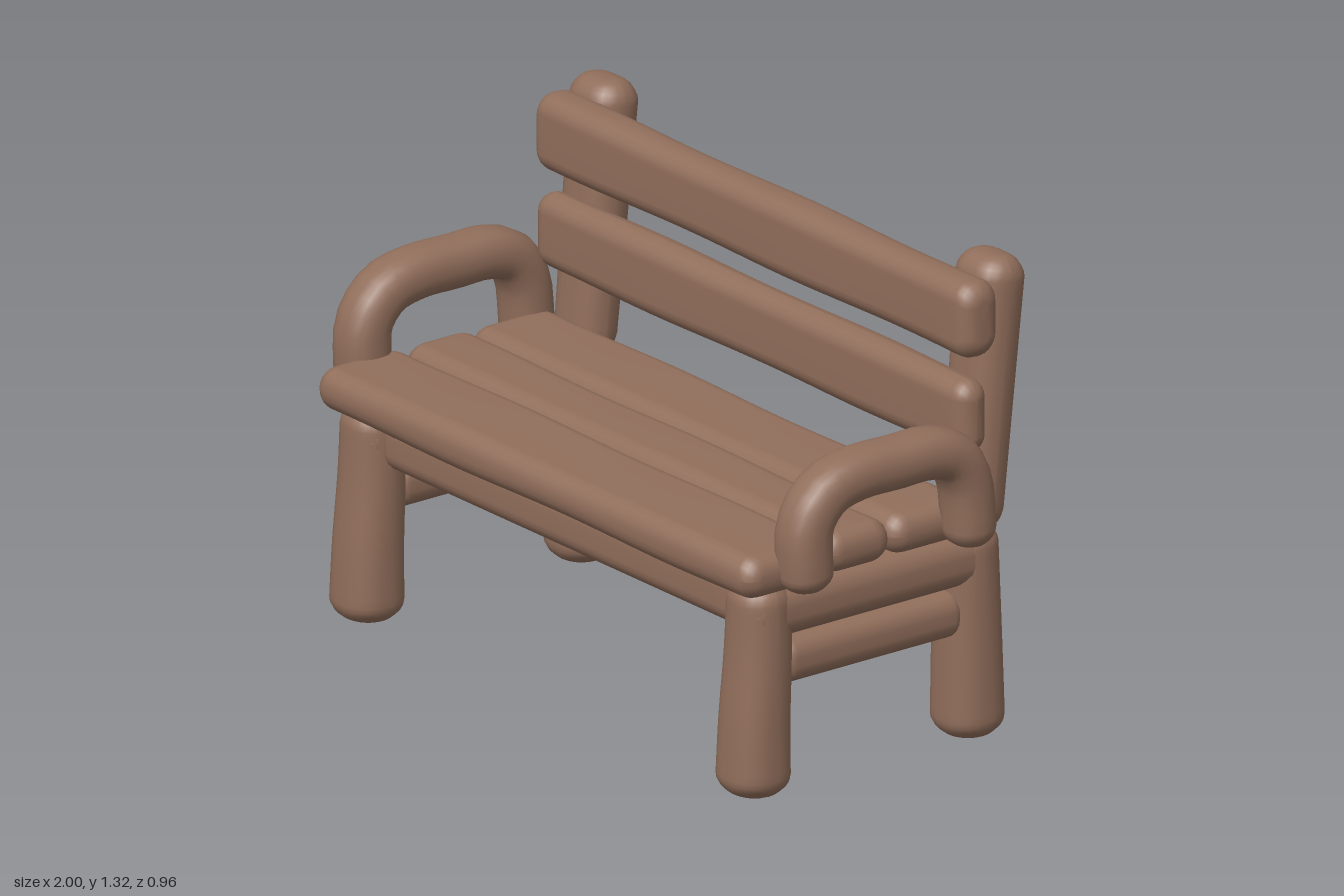
import * as THREE from 'three';

const wood = new THREE.MeshStandardMaterial({ color: 0x916e5b });
wood.name = 'brown wood';

// Rounded timber swept along a path. a = half size along "side", b = half size
// across it (each may be [start, end]), c = corner radius, r = end rounding.
function timber(name, path, side, a, b, c, r, wobble = 0) {
  const [a0, a1] = [a].flat().length > 1 ? a : [a, a];
  const [b0, b1] = [b].flat().length > 1 ? b : [b, b];
  const curve = new THREE.CatmullRomCurve3(path.map(p => new THREE.Vector3(...p)), false, 'centripetal');
  const len = curve.getLength(), steps = 24, endSteps = 6, corner = 5, n = 4 * (corner + 1);
  const S = new THREE.Vector3(...side);

  // Stations are dense at the rounded ends and even in between
  const stations = [0];
  for (let i = 0; i <= endSteps; i++) stations.push(r * (1 - Math.cos(i / endSteps * Math.PI / 2)));
  for (let i = 1; i < steps; i++) stations.push(r + (len - 2 * r) * i / steps);
  for (let i = endSteps; i >= 0; i--) stations.push(len - r * (1 - Math.cos(i / endSteps * Math.PI / 2)));
  stations.push(len);

  const pos = [], index = [];
  stations.forEach((s, i) => {
    const u = Math.min(1, Math.max(0, s / len));
    const p = curve.getPointAt(u), t = curve.getTangentAt(u);
    const O = new THREE.Vector3().crossVectors(t, S).normalize();
    const Q = new THREE.Vector3().crossVectors(O, t).normalize();
    const d = Math.min(s, len - s);
    const inset = d < r ? r - Math.sqrt(Math.max(0, r * r - (r - d) ** 2)) : 0;
    const cap = i === 0 || i === stations.length - 1 ? 0 : 1;
    const w = wobble * Math.sin(s * 7 + path[0][1] * 9 + path[0][2] * 13);
    const A = Math.max(0.002, a0 + (a1 - a0) * u - inset + w) * cap;
    const B = Math.max(0.002, b0 + (b1 - b0) * u - inset + w) * cap;
    const C = Math.min(c, A, B);
    for (let q = 0; q < 4; q++) for (let k = 0; k <= corner; k++) {
      const ang = (q + k / corner) * Math.PI / 2;
      const x = (q === 0 || q === 3 ? 1 : -1) * (A - C) + C * Math.cos(ang);
      const y = (q < 2 ? 1 : -1) * (B - C) + C * Math.sin(ang);
      pos.push(p.x + Q.x * x + O.x * y, p.y + Q.y * x + O.y * y, p.z + Q.z * x + O.z * y);
    }
  });
  for (let i = 0; i < stations.length - 1; i++) for (let j = 0; j < n; j++) {
    const p = i * n + j, q = i * n + (j + 1) % n;
    index.push(p, q, q + n, p, q + n, p + n);
  }
  const geo = new THREE.BufferGeometry();
  geo.setAttribute('position', new THREE.Float32BufferAttribute(pos, 3));
  geo.setIndex(index);
  geo.computeVertexNormals();
  const mesh = new THREE.Mesh(geo, wood);
  mesh.name = name;
  return mesh;
}

export function createModel() {
  const bench = new THREE.Group();
  bench.name = 'bench';
  const X = [1, 0, 0], Y = [0, 1, 0];

  // Boards running the width: name, half length, y range, z range
  const boards = [
    ['frontSeatPlank', 0.915, 0.57, 0.69, 0.195, 0.48],
    ['middleSeatPlank', 0.9, 0.575, 0.69, -0.02, 0.2],
    ['rearSeatPlank', 0.9, 0.575, 0.69, -0.29, -0.015],
    ['lowerBackSlat', 0.905, 0.8, 1.01, -0.34, -0.235],
    ['upperBackSlat', 0.915, 1.07, 1.28, -0.365, -0.24],
  ];
  for (const [name, h, y0, y1, z0, z1] of boards) {
    const y = (y0 + y1) / 2, z = (z0 + z1) / 2;
    bench.add(timber(name, [[-h, y, z], [h, y, z]], Y, (y1 - y0) / 2, (z1 - z0) / 2, 0.052, 0.05, 0.002));
  }

  // Solid frame under the seat
  bench.add(timber('seatFrame', [[-0.75, 0.505, 0.01], [0.75, 0.505, 0.01]], Y, 0.075, 0.38, 0.05, 0.04));

  for (const s of [1, -1]) {
    const sideGroup = new THREE.Group();
    sideGroup.name = s > 0 ? 'leftSide' : 'rightSide';
    const x = s * 0.81;
    sideGroup.add(
      timber('frontLeg', [[x, 0, 0.38], [x, 0.2, 0.375], [x, 0.4, 0.363], [x, 0.59, 0.36]], X, [0.094, 0.085], [0.091, 0.078], 0.075, 0.055),
      timber('rearLeg', [[x, 0, -0.33], [x, 0.2, -0.328], [x, 0.59, -0.322]], X, [0.094, 0.085], [0.09, 0.08], 0.075, 0.055),
      timber('backPost', [[x, 0.57, -0.34], [x, 0.95, -0.375], [x, 1.32, -0.41]], X, [0.088, 0.096], [0.068, 0.074], 0.066, 0.06),
      timber('sideRail', [[x, 0.505, -0.39], [x, 0.505, 0.43]], X, 0.082, 0.076, 0.06, 0.05),
      timber('sideStretcher', [[x, 0.355, -0.28], [x, 0.355, 0.32]], X, 0.065, 0.065, 0.052, 0.04),
    );
    // Bent armrest
    const arm = [[0.58, 0.295], [0.68, 0.303], [0.77, 0.295], [0.84, 0.235], [0.865, 0.14], [0.865, 0],
      [0.865, -0.1], [0.84, -0.18], [0.77, -0.225], [0.68, -0.238], [0.58, -0.242]];
    sideGroup.add(timber('armrest', arm.map(([y, z]) => [s * 0.926, y, z]), X, 0.074, [0.07, 0.066], 0.06, 0.05));
    bench.add(sideGroup);
  }
  return bench;
}
